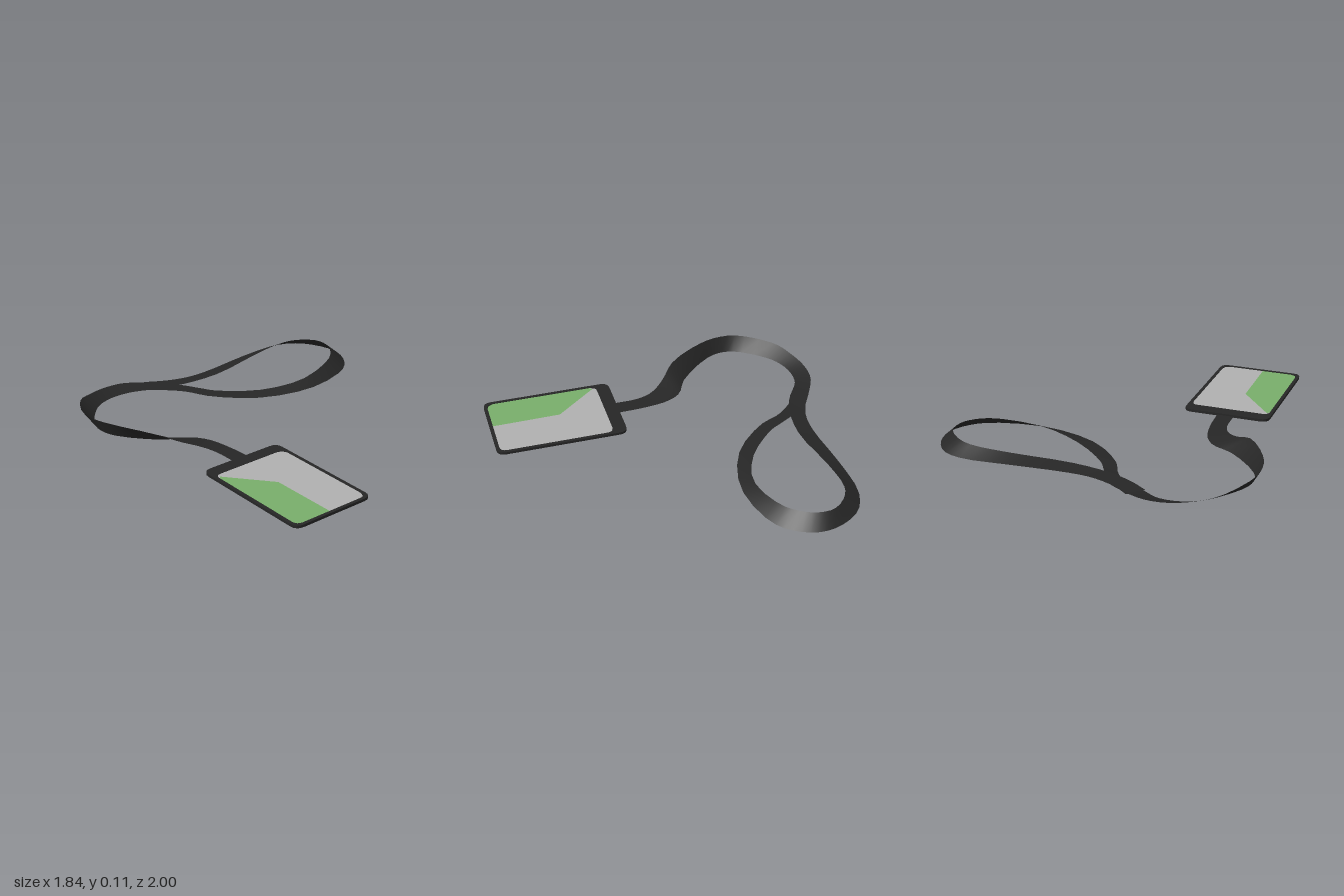
import * as THREE from 'three';

const black = new THREE.MeshStandardMaterial({ color: 0x262626, side: THREE.DoubleSide });
const grey = new THREE.MeshStandardMaterial({ color: 0xb0b0b0 });
const green = new THREE.MeshStandardMaterial({ color: 0x78ae6a });

// Flat band between two edge curves; each station is [x, y, z of one edge, x, y, z of the other]
function ribbon(name, stations, steps) {
  const edge = (o) => new THREE.CatmullRomCurve3(
    stations.map((s) => new THREE.Vector3(s[o], s[o + 1], s[o + 2])));
  const a = edge(0), b = edge(3);
  const pos = [], index = [];
  for (let i = 0; i <= steps; i++) {
    pos.push(...a.getPoint(i / steps).toArray(), ...b.getPoint(i / steps).toArray());
    if (i < steps) {
      const k = i * 2;
      index.push(k, k + 1, k + 2, k + 1, k + 3, k + 2);
    }
  }
  const geo = new THREE.BufferGeometry();
  geo.setAttribute('position', new THREE.Float32BufferAttribute(pos, 3));
  geo.setIndex(index);
  geo.computeVertexNormals();
  const mesh = new THREE.Mesh(geo, black);
  mesh.name = name;
  return mesh;
}

// Rounded rectangle in x and z
function roundRect(target, x0, z0, x1, z1, r) {
  target.moveTo(x0 + r, z0);
  target.lineTo(x1 - r, z0);
  target.quadraticCurveTo(x1, z0, x1, z0 + r);
  target.lineTo(x1, z1 - r);
  target.quadraticCurveTo(x1, z1, x1 - r, z1);
  target.lineTo(x0 + r, z1);
  target.quadraticCurveTo(x0, z1, x0, z1 - r);
  target.lineTo(x0, z0 + r);
  target.quadraticCurveTo(x0, z0, x0 + r, z0);
  return target;
}

// Horizontal slab from an outline in x and z
function plate(name, shape, bottom, top, material) {
  const geo = new THREE.ExtrudeGeometry(shape, { depth: top - bottom, bevelEnabled: false, curveSegments: 4 });
  geo.rotateX(Math.PI / 2);
  const mesh = new THREE.Mesh(geo, material);
  mesh.position.y = top;
  mesh.name = name;
  return mesh;
}

export function createModel() {
  const model = new THREE.Group();
  model.name = 'lanyardWithCard';

  // Card holder: frame around the window
  const holder = new THREE.Group();
  holder.name = 'cardHolder';
  const frame = roundRect(new THREE.Shape(), -0.735, 0.22, -0.225, 0.995, 0.05);
  frame.holes.push(roundRect(new THREE.Path(), -0.715, 0.3, -0.245, 0.975, 0.04));
  holder.add(plate('frame', frame, 0.015, 0.03, black));

  // Card in two colours, filling the window
  const greyArea = new THREE.Shape([[-0.7, 0.3], [-0.285, 0.3], [-0.257, 0.312], [-0.245, 0.34],
    [-0.245, 0.935], [-0.257, 0.963], [-0.285, 0.975], [-0.495, 0.975], [-0.5, 0.57], [-0.7, 0.325],
    [-0.715, 0.34]].map(([x, z]) => new THREE.Vector2(x, z)));
  const greenArea = new THREE.Shape([[-0.715, 0.34], [-0.7, 0.325], [-0.5, 0.57], [-0.495, 0.975],
    [-0.675, 0.975], [-0.703, 0.963], [-0.715, 0.935]].map(([x, z]) => new THREE.Vector2(x, z)));
  holder.add(plate('cardGreyArea', greyArea, 0.017, 0.028, grey));
  holder.add(plate('cardGreenArea', greenArea, 0.017, 0.028, green));
  model.add(holder);

  // Strap from the card around the left bend, outer edge standing up
  model.add(ribbon('strap', [
    [-0.53, 0.021, 0.23, -0.43, 0.021, 0.23],
    [-0.535, 0.021, 0.08, -0.44, 0.018, 0.06],
    [-0.57, 0.028, -0.02, -0.47, 0.015, -0.09],
    [-0.65, 0.05, -0.11, -0.53, 0.012, -0.18],
    [-0.75, 0.093, -0.2, -0.66, 0.012, -0.25],
    [-0.88, 0.11, -0.42, -0.84, 0.016, -0.45],
    [-0.92, 0.108, -0.55, -0.875, 0.018, -0.55],
    [-0.915, 0.1, -0.68, -0.86, 0.018, -0.65],
    [-0.8, 0.073, -0.89, -0.74, 0.015, -0.82],
    [-0.7, 0.055, -0.955, -0.66, 0.012, -0.88],
    [-0.57, 0.042, -1.0, -0.56, 0.01, -0.91],
    [-0.44, 0.035, -1.0, -0.46, 0.01, -0.905],
    [-0.315, 0.025, -0.945, -0.385, 0.015, -0.87],
    [-0.2, 0.024, -0.88, -0.29, 0.02, -0.81],
  ], 36));

  // Loop: leaves the strap along the back, rises at the right and returns underneath
  model.add(ribbon('loop', [
    [-0.315, 0.027, -0.943, -0.385, 0.025, -0.872],
    [-0.2, 0.026, -0.88, -0.27, 0.028, -0.8],
    [-0.07, 0.027, -0.835, -0.12, 0.033, -0.75],
    [0.08, 0.029, -0.828, 0.1, 0.042, -0.73],
    [0.4, 0.035, -0.86, 0.43, 0.065, -0.775],
    [0.67, 0.032, -0.868, 0.65, 0.08, -0.785],
    [0.815, 0.026, -0.805, 0.745, 0.086, -0.75],
    [0.9, 0.022, -0.67, 0.83, 0.09, -0.66],
    [0.915, 0.02, -0.545, 0.835, 0.09, -0.56],
    [0.865, 0.016, -0.425, 0.795, 0.086, -0.48],
    [0.76, 0.011, -0.33, 0.705, 0.075, -0.4],
    [0.44, 0.005, -0.262, 0.435, 0.04, -0.336],
    [0.115, 0.004, -0.355, 0.18, 0.015, -0.42],
    [-0.1, 0.005, -0.56, -0.025, 0.008, -0.595],
    [-0.17, 0.005, -0.7, -0.08, 0.008, -0.685],
    [-0.25, 0.007, -0.79, -0.15, 0.01, -0.8],
    [-0.36, 0.012, -0.87, -0.3, 0.012, -0.93],
  ], 44));

  return model;
}
